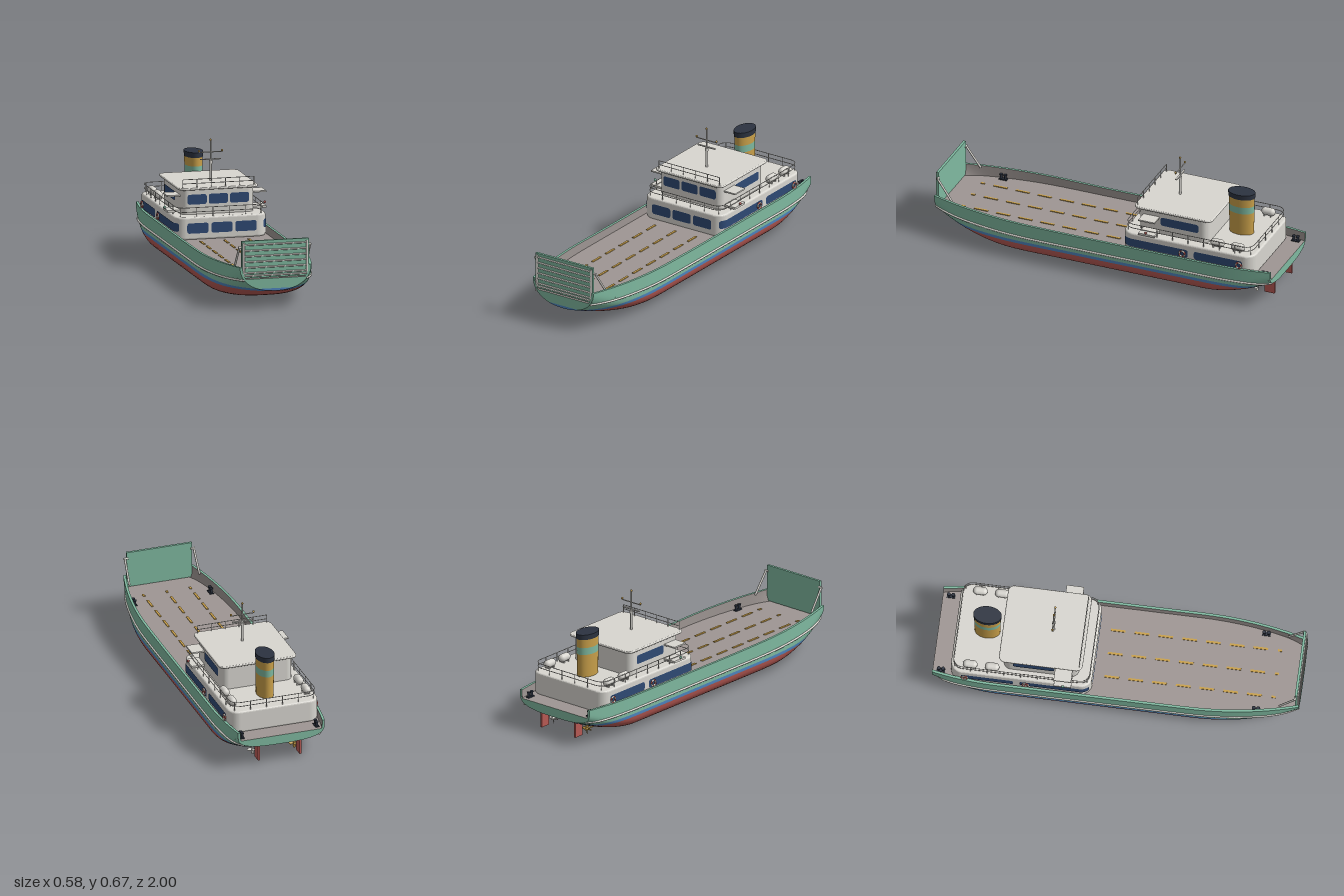
import * as THREE from 'three';

const mat = (name, color) => {
  const m = new THREE.MeshStandardMaterial({ color });
  m.name = name;
  return m;
};

export function createModel() {
  const ship = new THREE.Group();
  ship.name = 'carFerry';
  const M = {
    green: mat('seaGreen', 0x7fb9a0), red: mat('bottomRed', 0xb85a54), blue: mat('stripeBlue', 0x4f86c0),
    white: mat('paintWhite', 0xd8d6d0), deck: mat('deckGrey', 0x9e9693), glass: mat('windowBlue', 0x2f4a75),
    gold: mat('gold', 0xc9a04a), dark: mat('darkNavy', 0x2c3340),
  };
  const V = (x, y, z) => new THREE.Vector3(x, y, z);
  const add = (name, geo, m, x = 0, y = 0, z = 0, parent = ship) => {
    const mesh = new THREE.Mesh(geo, m);
    mesh.name = name;
    mesh.position.set(x, y, z);
    parent.add(mesh);
    return mesh;
  };
  const box = (name, w, h, d, m, x, y, z) => add(name, new THREE.BoxGeometry(w, h, d), m, x, y, z);
  const rod = (name, a, b, r, m, parent = ship) => {
    const geo = new THREE.CylinderGeometry(r, r, a.distanceTo(b), 10);
    const mesh = add(name, geo, m, 0, 0, 0, parent);
    mesh.position.lerpVectors(a, b, 0.5);
    mesh.quaternion.setFromUnitVectors(V(0, 1, 0), b.clone().sub(a).normalize());
    return mesh;
  };
  const ball = (name, r, m, x, y, z) => add(name, new THREE.SphereGeometry(r, 14, 10), m, x, y, z);

  // Surface from fn(u, v) -> [x, y, z]; faces point along du x dv
  const grid = (fn, nu, nv) => {
    const pos = [], idx = [];
    for (let i = 0; i <= nu; i++) for (let j = 0; j <= nv; j++) pos.push(...fn(i / nu, j / nv));
    for (let i = 0; i < nu; i++) for (let j = 0; j < nv; j++) {
      const a = i * (nv + 1) + j, b = a + 1, c = a + nv + 1;
      idx.push(a, c, b, b, c, c + 1);
    }
    const g = new THREE.BufferGeometry();
    g.setAttribute('position', new THREE.Float32BufferAttribute(pos, 3));
    g.setIndex(idx);
    g.computeVertexNormals();
    return g;
  };

  // Hull lines
  const DECK = 0.17, N = 64, T = 0.014;
  const bow = (z, start, p) => Math.pow(Math.max(0, (z - start) / (1 - start)), p);
  const beam = z => 0.282 - 0.082 * bow(z, 0.4, 2.1) - 0.033 * bow(-z, 0.65, 2);
  const keel = z => 0.003 + 0.097 * bow(z, 0.5, 2) + 0.115 * bow(-z, 0.6, 1.7);
  const sheer = z => 0.216 + 0.02 * bow(z, 0.1, 1.8) + 0.003 * bow(-z, 0.3, 2);
  const half = (z, y) => {
    const f = bow(z, 0.4, 2), n = 3 - 0.8 * f;
    const turn = 0.12 + 0.015 * f - 0.04 * bow(-z, 0.6, 1);
    const t = Math.min(1, Math.max(0, (y - keel(z)) / turn));
    return beam(z) * Math.pow(1 - Math.pow(1 - t, n), 1 / n);
  };
  const lerp = THREE.MathUtils.lerp;
  const RED = 0.097, BLUE = 0.114;

  add('hullBottom', grid((u, v) => {
    const z = 2 * u - 1, k = 1 - 2 * v, lo = keel(z);
    const y = lo + (Math.max(RED, lo) - lo) * Math.abs(k) ** 3;
    return [Math.sign(k) * half(z, y), y, z];
  }, N, 32), M.red);

  for (const s of [1, -1]) {
    const side = (name, fn, nv, m) => add(name, grid((u, v) => {
      const z = s * (1 - 2 * u), [x, y] = fn(z, v);
      return [s * x, y, z];
    }, N, nv), m);
    const strip = (lo, hi) => (z, v) => {
      const k = keel(z), y = lerp(Math.max(lo, k), Math.max(hi(z), k), v * v);
      return [half(z, y), y];
    };
    side('waterlineStripe', strip(RED, () => BLUE), 6, M.blue);
    side('hullSide', strip(BLUE, sheer), 12, M.green);
    side('bulwarkCap', (z, v) => [half(z, sheer(z)) - T * v, sheer(z)], 1, M.green);
    side('bulwarkInside', (z, v) => {
      const y = lerp(sheer(z), DECK, v);
      return [half(z, y) - T, y];
    }, 2, M.deck);
    // Rubbing strake
    const pts = [];
    for (let i = 0; i <= 40; i++) {
      const z = -0.995 + i * 0.0498, y = 0.14 + 0.023 * bow(z, 0.3, 1.8);
      pts.push(V(s * (half(z, y) + 0.002), y, z));
    }
    add('rubbingStrake', new THREE.TubeGeometry(new THREE.CatmullRomCurve3(pts), 80, 0.006, 8), M.white);
    for (const p of [pts[0], pts[40]]) ball('strakeEnd', 0.006, M.white, p.x, p.y, p.z);
  }

  // Flat ends of the hull and of the bulwarks
  for (const e of [1, -1]) {
    const end = (name, lo, hi, m) => add(name, grid((u, v) => {
      const y = lerp(Math.max(lo, keel(e)), Math.max(hi, keel(e)), v * v);
      return [e * (2 * u - 1) * half(e, y), y, e];
    }, 8, 14), m);
    end('transomStripe', RED, BLUE, M.blue);
    end('transom', BLUE, DECK, M.green);
    for (const s of [1, -1]) add('bulwarkEnd', grid((u, v) => {
      const y = lerp(DECK, sheer(e), v), k = s * e > 0 ? 1 - u : u;
      return [s * (half(e, y) - T * k), y, e];
    }, 1, 4), M.green);
  }
  add('carDeck', grid((u, v) => {
    const z = 2 * u - 1;
    return [(2 * v - 1) * half(z, DECK), DECK, z];
  }, N, 2), M.deck);

  // Lane dashes
  for (const x of [-0.135, 0, 0.135]) for (let i = 0; i < 8; i++)
    box('laneDash', 0.012, 0.004, i < 7 ? 0.08 : 0.022, M.gold, x, DECK + 0.002, i < 7 ? -0.03 + 0.13 * i : 0.855);

  // Bow ramp with stiffening frame and stays
  box('bowRamp', 0.376, 0.206, 0.014, M.green, 0, 0.277, 0.985);
  for (const y of [0.358, 0.326, 0.295, 0.264, 0.233, 0.203, 0.187])
    rod('rampBar', V(-0.178, y, 0.993), V(0.178, y, 0.993), 0.005, M.white);
  for (const s of [1, -1]) {
    rod('rampFrame', V(s * 0.178, 0.185, 0.993), V(s * 0.178, 0.37, 0.993), 0.006, M.white);
    rod('rampStay', V(s * 0.198, 0.345, 0.98), V(s * 0.202, 0.225, 0.895), 0.006, M.white);
    rod('rampStayPin', V(s * 0.18, 0.345, 0.98), V(s * 0.204, 0.345, 0.98), 0.006, M.white);
  }

  // Rounded plan outline starting at front centre and running towards +x
  const outline = (w, z0, z1, r) => {
    const p = new THREE.Shape(), f = -z1, b = -z0, H = Math.PI / 2;
    p.moveTo(0, f);
    p.lineTo(w - r, f);
    p.absarc(w - r, f + r, r, -H, 0);
    p.lineTo(w, b - r);
    p.absarc(w - r, b - r, r, 0, H);
    p.lineTo(r - w, b);
    p.absarc(r - w, b - r, r, H, 2 * H);
    p.lineTo(-w, f + r);
    p.absarc(r - w, f + r, r, 2 * H, 3 * H);
    p.lineTo(0, f);
    return p;
  };
  const along = (path, s) => {
    const q = path.getPointAt(Math.abs(s) / path.getLength());
    return [Math.sign(s) * q.x || 0, -q.y];
  };
  const block = (name, w, z0, z1, r, y0, y1, b) => {
    const g = new THREE.ExtrudeGeometry(outline(w - b, z0 + b, z1 - b, r - b), {
      depth: y1 - y0 - 2 * b, bevelSize: b, bevelThickness: b, bevelSegments: 3, curveSegments: 10 });
    add(name, g.rotateX(-Math.PI / 2).translate(0, y0 + b, 0), M.white);
  };
  // Rounded window pane following an outline
  const pane = (path, s0, s1, y0, y1) => add('window', grid((u, v) => {
    const s = (s0 + s1) / 2 - (s1 - s0) / 2 * Math.cos(Math.PI * u), R = 0.013;
    const d = Math.max(0, R - Math.min(s - s0, s1 - s)), inset = R - Math.sqrt(Math.max(0, R * R - d * d));
    const [x, z] = along(path, s);
    return [x, lerp(y0 + inset, y1 - inset, v), z];
  }, 40, 1), M.glass);

  // Lower house
  block('lowerHouse', 0.258, -0.9, -0.13, 0.06, DECK, 0.295, 0.01);
  const lower = outline(0.261, -0.903, -0.127, 0.063);
  // Bridge house and roof
  block('bridgeHouse', 0.205, -0.615, -0.205, 0.04, 0.29, 0.435, 0.004);
  const upper = outline(0.208, -0.618, -0.202, 0.043);
  block('bridgeRoof', 0.223, -0.64, -0.182, 0.035, 0.432, 0.445, 0.005);
  for (const i of [-1, 0, 1]) {
    pane(lower, i * 0.135 - 0.06, i * 0.135 + 0.06, 0.205, 0.262);
    pane(upper, i * 0.119 - 0.054, i * 0.119 + 0.054, 0.35, 0.405);
  }
  for (const s of [1, -1]) {
    const mirrored = (path, a, b, y0, y1) => pane(path, Math.min(s * a, s * b), Math.max(s * a, s * b), y0, y1);
    mirrored(lower, 0.24, 0.627, 0.215, 0.262);
    mirrored(lower, 0.662, 0.947, 0.215, 0.262);
    mirrored(upper, 0.325, 0.548, 0.35, 0.4);
  }

  // Upper deck railing
  const railPath = outline(0.245, -0.887, -0.143, 0.05), L = railPath.getLength();
  const loop = Array.from({ length: 120 }, (_, i) => railPath.getPointAt(i / 120));
  for (const y of [0.321, 0.345]) {
    const curve = new THREE.CatmullRomCurve3(loop.map(q => V(q.x, y, -q.y)), true);
    add('deckRail', new THREE.TubeGeometry(curve, 160, 0.002, 6, true), M.white);
  }
  for (let i = 0; i < 26; i++) {
    const [x, z] = along(railPath, (i + 0.5) * L / 26);
    rod('railPost', V(x, 0.29, z), V(x, 0.345, z), 0.002, M.white);
  }
  // Roof front railing
  for (const y of [0.467, 0.49]) rod('roofRail', V(-0.2, y, -0.2), V(0.2, y, -0.2), 0.002, M.white);
  for (let i = 0; i < 6; i++) rod('roofRailPost', V(-0.2 + 0.08 * i, 0.44, -0.2), V(-0.2 + 0.08 * i, 0.49, -0.2), 0.002, M.white);

  for (const s of [1, -1]) {
    // Bridge wings and side lights
    box('bridgeWing', 0.08, 0.012, 0.095, M.white, s * 0.238, 0.312, -0.283);
    box('wingCanopy', 0.08, 0.008, 0.095, M.white, s * 0.238, 0.396, -0.283);
    ball('sideLight', 0.007, s > 0 ? M.red : M.green, s * 0.281, 0.328, -0.28);
    rod('sideLightStem', V(s * 0.275, 0.315, -0.28), V(s * 0.28, 0.326, -0.28), 0.003, M.white);
    for (const z of [-0.795, -0.675]) {
      // Life raft canisters
      add('lifeRaft', new THREE.CapsuleGeometry(0.022, 0.036, 6, 16).rotateX(Math.PI / 2), M.white, s * 0.213, 0.32, z);
      for (const d of [-0.018, 0.018]) box('raftCradle', 0.034, 0.012, 0.006, M.white, s * 0.213, 0.299, z + d);
    }
    // Lifebuoys in alternating quarters
    for (const z of [-0.487, -0.82]) for (let i = 0; i < 8; i++) {
      const g = new THREE.TorusGeometry(0.016, 0.005, 8, 5, Math.PI / 4).rotateZ(i * Math.PI / 4).rotateY(Math.PI / 2);
      add('lifebuoy', g, i % 2 ? M.white : M.red, s * 0.265, 0.236, z);
    }
    // Twin bollards
    for (const [x, z] of [[0.22, 0.77], [0.215, -0.955]]) {
      box('bollardBase', 0.022, 0.006, 0.046, M.dark, s * x, DECK + 0.003, z);
      for (const d of [-0.012, 0.012]) {
        rod('bollard', V(s * x, DECK, z + d), V(s * x, DECK + 0.03, z + d), 0.007, M.dark);
        rod('bollardHead', V(s * x, DECK + 0.026, z + d), V(s * x, DECK + 0.032, z + d), 0.01, M.dark);
      }
    }
    // Rudder and propeller
    box('rudder', 0.012, 0.085, 0.058, M.red, s * 0.12, 0.066, -0.945);
    rod('rudderStock', V(s * 0.12, 0.1, -0.935), V(s * 0.12, 0.15, -0.935), 0.006, M.red);
    const prop = new THREE.Group(), metal = s > 0 ? M.white : M.gold;
    prop.name = 'propeller';
    prop.position.set(s * 0.12, 0.045, -0.87);
    rod('hub', V(0, 0, -0.012), V(0, 0, 0.012), 0.008, metal, prop);
    rod('shaft', V(0, 0, 0), V(0, 0, 0.09), 0.004, metal, prop);
    for (let i = 0; i < 4; i++) {
      const g = new THREE.SphereGeometry(1, 12, 8).scale(0.009, 0.014, 0.002).rotateY(0.6).translate(0, 0.018, 0);
      add('blade', g.rotateZ(i * Math.PI / 2), metal, 0, 0, 0, prop);
    }
    ship.add(prop);
  }

  // Oval funnel in stacked colour bands
  const band = (y0, y1, r0, r1, m) => {
    const g = new THREE.CylinderGeometry(r1, r0, y1 - y0, 40).scale(1, 1, 1.55);
    add('funnelBand', g, m, 0, (y0 + y1) / 2, -0.728);
  };
  band(0.29, 0.425, 0.045, 0.0465, M.gold);
  band(0.425, 0.465, 0.0465, 0.047, M.green);
  band(0.465, 0.515, 0.047, 0.0475, M.gold);
  band(0.513, 0.542, 0.0495, 0.05, M.dark);

  // Mast with radar bar, yard and lights
  const mz = -0.365;
  rod('mastBase', V(0, 0.44, mz), V(0, 0.545, mz), 0.007, M.white);
  rod('mastCollar', V(0, 0.54, mz), V(0, 0.556, mz), 0.01, M.white);
  rod('mastTop', V(0, 0.55, mz), V(0, 0.668, mz), 0.0045, M.white);
  box('radarBar', 0.116, 0.005, 0.01, M.white, 0, 0.563, mz);
  rod('yard', V(-0.067, 0.603, mz), V(0.067, 0.603, mz), 0.003, M.white);
  for (const [x, y] of [[0, 0.67], [-0.065, 0.61], [0.065, 0.61]]) ball('mastLight', 0.006, M.gold, x, y, mz);
  return ship;
}
